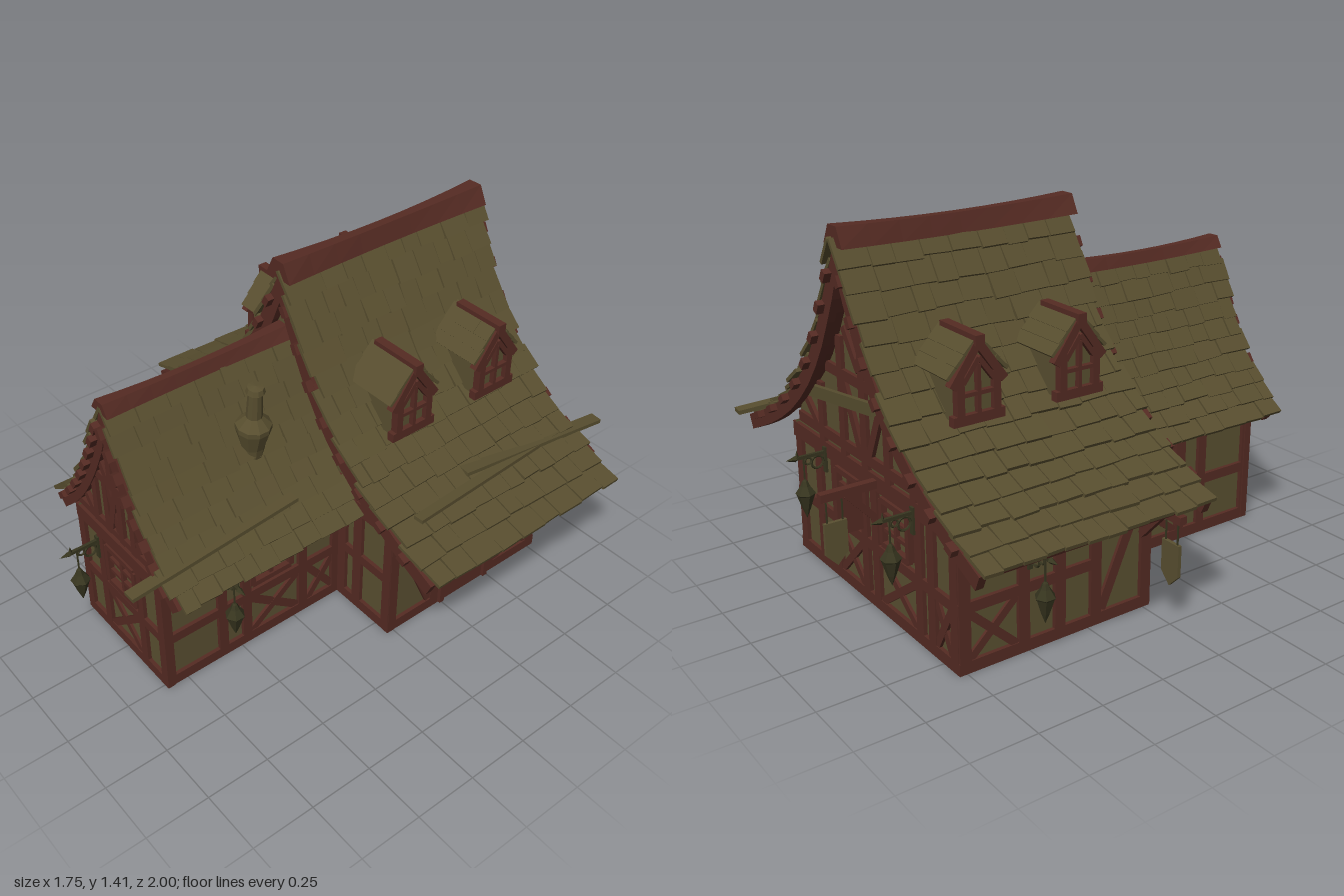
import * as THREE from 'three';
import { mergeGeometries } from 'three/addons/utils/BufferGeometryUtils.js';

const mat = (name, color, side = THREE.FrontSide) =>
  Object.assign(new THREE.MeshStandardMaterial({ color, side }), { name });

export function createModel() {
  const root = new THREE.Group();
  root.name = 'cottage';
  const plaster = mat('plaster', 0x5a5031, THREE.DoubleSide);
  const shingle = mat('shingle', 0x584e2f);
  const wood = mat('redTimber', 0x552b23);
  const metal = mat('darkMetal', 0x37351f);

  let seed = 7;
  const rnd = (a = 0, b = 1) => {
    seed = (seed * 16807) % 2147483647;
    return a + (b - a) * (seed / 2147483647);
  };

  // Merge pieces of one colour into a flat shaded mesh
  const part = (name, material, geos, parent = root) => {
    const g = mergeGeometries(geos.map((q) => (q.index ? q.toNonIndexed() : q)));
    g.computeVertexNormals();
    const m = new THREE.Mesh(g, material);
    m.name = name;
    parent.add(m);
    return m;
  };
  const box = (w, h, d, x, y, z) => new THREE.BoxGeometry(w, h, d).translate(x, y, z);
  const beam = ([u1, v1, u2, v2, w = 0.045, d = 0.03, z = 0]) =>
    new THREE.BoxGeometry(Math.hypot(u2 - u1, v2 - v1), w, d)
      .rotateZ(Math.atan2(v2 - v1, u2 - u1)).translate((u1 + u2) / 2, (v1 + v2) / 2, z);
  const post = (u, a, b, w) => [u, a, u, b, w];
  const rail = (v, a, b, w) => [a, v, b, v, w];
  const cross = (a, b, lo, hi) => [[a, lo, b, hi, 0.03, 0.024], [a, hi, b, lo, 0.03, 0.022]];
  const windowBars = (u, v, w, h) => {
    const l = [];
    for (const s of [-1, 1]) {
      l.push([u + s * w / 2, v - h / 2, u + s * w / 2, v + h / 2, 0.022, 0.045]);
      l.push([u - w / 2, v + s * h / 2, u + w / 2, v + s * h / 2, 0.022, 0.045]);
      l.push([u - w / 2, v + s * h / 6, u + w / 2, v + s * h / 6, 0.014, 0.03]);
    }
    l.push([u, v - h / 2, u, v + h / 2, 0.016, 0.032]);
    return l;
  };

  // A wall: plaster sheet plus timber frame, drawn in its own plane
  const wall = (name, pos, rotY, outline, beams) => {
    const g = new THREE.Group();
    g.name = name;
    g.position.set(...pos);
    g.rotation.y = rotY;
    const s = new THREE.Shape(outline.map(([x, y]) => new THREE.Vector2(x, y)));
    part(name + 'Plaster', plaster, [new THREE.ShapeGeometry(s)], g);
    part(name + 'Timbers', wood, beams.map(beam), g);
    root.add(g);
    return g;
  };

  // Roof profiles, from the ridge down to the right eave
  const curve = (pts) => new THREE.CatmullRomCurve3(pts.map(([x, y]) => new THREE.Vector3(x, y, 0)));
  const mainRoof = curve([[0, 1.36], [0.1, 1.17], [0.2, 0.98], [0.32, 0.82], [0.48, 0.68], [0.65, 0.58], [0.84, 0.495]]);
  const wingRoof = curve([[0, 1.12], [0.07, 0.97], [0.14, 0.83], [0.22, 0.7], [0.3, 0.6], [0.4, 0.505]]);
  const at = (c, t) => {
    const p = c.getPointAt(t), d = c.getTangentAt(t);
    return { x: p.x, y: p.y, nx: -d.y, ny: d.x, a: Math.atan2(d.y, d.x) };
  };
  const band = (c, o1, o2, side, z0, depth) => {
    const row = (o) => Array.from({ length: 13 }, (_, i) => {
      const p = at(c, i / 12);
      return new THREE.Vector2(side * Math.max(0, p.x + p.nx * o), p.y + p.ny * o);
    });
    const s = new THREE.Shape([...row(o1), ...row(o2).reverse()]);
    return new THREE.ExtrudeGeometry(s, { depth, bevelEnabled: false }).translate(0, 0, z0);
  };

  const roof = (name, c, z0, z1, rows, ends) => {
    const len = c.getLength(), tiles = [], timber = [];
    for (const side of [-1, 1]) {
      timber.push(band(c, -0.005, -0.025, side, z0 + 0.02, z1 - z0 - 0.04));
      // overlapping courses of uneven shingles
      for (let i = 0; i < rows; i++) {
        for (let z = z0 + rnd(-0.015, 0.015); z < z1 - 0.02;) {
          let w = rnd(0.07, 0.13);
          if (z + w > z1 - 0.04) w = z1 + rnd(-0.015, 0.015) - z;
          const p = at(c, (i + 0.6) / rows);
          const l = (len / rows) * 1.3 + rnd(-0.012, 0.014);
          const a = p.a + 0.13 + rnd(-0.03, 0.03), off = 0.007 + rnd(0, 0.006);
          tiles.push(new THREE.BoxGeometry(l, 0.014, w - 0.004)
            .rotateY(rnd(-0.04, 0.04)).rotateZ(side > 0 ? a : Math.PI - a)
            .translate(side * (p.x + p.nx * off), p.y + p.ny * off, z + w / 2));
          z += w;
        }
      }
      // bargeboards with small purlin ends
      for (const [z, dir] of ends) {
        timber.push(band(c, -0.005, -0.065, side, z - 0.015, 0.03));
        for (let i = 1; i < 9; i++) {
          const p = at(c, i / 9);
          timber.push(new THREE.BoxGeometry(0.04, 0.026, 0.04).rotateZ(side * p.a)
            .translate(side * (p.x - p.nx * 0.018), p.y - p.ny * 0.018, z + dir * 0.022));
        }
      }
    }
    part(name + 'Shingles', shingle, tiles);
    part(name + 'Timber', wood, timber);
  };
  roof('mainRoof', mainRoof, -0.86, 0.1, 14, [[0.08, 1], [-0.835, -1]]);
  roof('wingRoof', wingRoof, 0.04, 0.85, 10, [[0.83, 1]]);

  // Ridge caps: waisted and sagging in the middle
  const ridge = (name, y, z0, z1, w, h) => {
    const L = z1 - z0, g = new THREE.BoxGeometry(w, h, L, 1, 1, 8), p = g.attributes.position;
    for (let i = 0; i < p.count; i++) {
      const k = (2 * p.getZ(i) / L) ** 2, top = p.getY(i) > 0 ? 0.45 : 1;
      p.setX(i, p.getX(i) * top * (0.6 + 0.4 * k));
      p.setY(i, p.getY(i) + 0.012 * k);
    }
    part(name, wood, [g.translate(0, y, (z0 + z1) / 2)]);
  };
  ridge('mainRidge', 1.36, -0.855, 0.1, 0.13, 0.07);
  ridge('wingRidge', 1.115, 0.08, 0.845, 0.1, 0.045);

  // Gable walls follow the roof profile
  const gableOutline = (c, x0, x1) => {
    const ts = Array.from({ length: 15 }, (_, i) => at(c, i / 14)).map((p) => [p.x, p.y - 0.03]);
    const r = ts.filter(([x]) => x < x1).reverse(), l = ts.filter(([x]) => x > 0 && x < -x0);
    return [[x0, 0], [x1, 0], [x1, 0.52], ...r, ...l.map(([x, y]) => [-x, y]), [x0, 0.52]];
  };
  const mirror = (list) => list.flatMap(([a, b, c, d, ...r]) => [[a, b, c, d, ...r], [-a, b, -c, d, ...r]]);
  const mainGable = [rail(0.5, -0.58, 0.57, 0.06), rail(0.57, -0.52, 0.52, 0.04), rail(0.84, -0.27, 0.27, 0.04), post(0, 0.52, 1.25),
    ...mirror([post(0.16, 0.52, 0.98, 0.04), post(0.33, 0.52, 0.76, 0.04), [0.03, 0.58, 0.14, 0.82, 0.035],
      [0.36, 0.58, 0.45, 0.66, 0.03], [0.02, 0.88, 0.12, 1.02, 0.03]])];

  wall('mainFront', [0, 0, 0.015], 0, gableOutline(mainRoof, -0.59, 0.56), [
    ...mainGable, rail(0.02, -0.59, 0.56), rail(0.26, -0.59, -0.28, 0.04), rail(0.26, 0.28, 0.56, 0.04),
    post(-0.575, 0, 0.5, 0.05), post(-0.36, 0, 0.5), post(-0.29, 0, 0.5), post(0.29, 0, 0.5), post(0.38, 0, 0.5), post(0.55, 0, 0.5)]);
  wall('mainBack', [0, 0, -0.765], Math.PI, gableOutline(mainRoof, -0.56, 0.59), [
    ...mainGable, rail(0.02, -0.56, 0.59), rail(0.24, -0.56, 0.59, 0.04),
    ...[-0.54, -0.38, -0.25, -0.03, 0.05, 0.35, 0.43, 0.57].map((u) => post(u, 0, 0.5)),
    ...windowBars(-0.14, 0.37, 0.17, 0.17), ...windowBars(0.2, 0.37, 0.18, 0.17),
    ...cross(-0.23, -0.05, 0.04, 0.22), ...cross(0.08, 0.33, 0.04, 0.22), ...cross(0.45, 0.55, 0.04, 0.22)]);
  wall('wingFront', [0, 0, 0.825], 0, gableOutline(wingRoof, -0.27, 0.27), [
    rail(0.02, -0.27, 0.27), rail(0.5, -0.28, 0.28, 0.06), rail(0.24, -0.27, 0.27, 0.04), rail(0.57, -0.28, 0.28, 0.03),
    rail(0.79, -0.14, 0.14, 0.035),
    ...mirror([post(0.255, 0, 0.5, 0.04), post(0.125, 0, 0.5, 0.04), post(0.045, 0.55, 0.8, 0.03),
      post(0.12, 0.55, 0.79, 0.03), [0.02, 0.8, 0.08, 0.9, 0.03], [0.14, 0.58, 0.21, 0.66, 0.03]]),
    [-0.03, 0.57, 0.03, 0.78, 0.03], [0.03, 0.57, -0.03, 0.78, 0.028, 0.026], post(0, 0.8, 1.06, 0.03),
    ...windowBars(0.015, 0.375, 0.18, 0.17), ...cross(-0.1, 0.1, 0.04, 0.22)]);

  // Long side walls
  const rect = (a, b) => [[a, 0], [b, 0], [b, 0.54], [a, 0.54]];
  const mainSide = [rail(0.02, -0.03, 0.78), rail(0.5, -0.03, 0.78, 0.06),
    ...[-0.01, 0.215, 0.52, 0.755].map((u) => post(u, 0, 0.5)),
    [0.02, 0.44, 0.19, 0.05, 0.04, 0.024], rail(0.24, 0.52, 0.78, 0.04), ...cross(0.55, 0.74, 0.04, 0.22)];
  wall('mainRight', [0.555, 0, 0], Math.PI / 2, rect(-0.03, 0.78), mainSide);
  wall('mainLeft', [-0.585, 0, 0], -Math.PI / 2, rect(-0.78, 0.03), [
    ...mainSide.map(([a, b, c, d, ...r]) => [-a, b, -c, d, ...r]), rail(0.24, -0.52, -0.22, 0.04), post(-0.37, 0, 0.5)]);
  const wingSide = (s) => [rail(0.02, -0.84, -0.02), rail(0.5, -0.84, -0.02, 0.06), rail(0.23, -0.84, -0.02, 0.04),
    ...[-0.82, -0.58, -0.47, -0.205, -0.04].map((u) => post(u, 0, 0.5, 0.04)),
    ...windowBars(-0.355, 0.375, 0.18, 0.18), ...cross(-0.45, -0.23, 0.04, 0.21), ...cross(-0.18, -0.05, 0.04, 0.21),
  ].map(([a, b, c, d, ...r]) => [s * a, b, s * c, d, ...r]);
  wall('wingRight', [0.255, 0, 0], Math.PI / 2, rect(-0.84, -0.02), wingSide(1));
  wall('wingLeft', [-0.255, 0, 0], -Math.PI / 2, rect(0.02, 0.84), wingSide(-1));

  // Plank door on the right side
  part('door', wood, [box(0.02, 0.45, 0.26, 0.562, 0.235, -0.365), ...[0.13, 0.34, 0.45].map((y) => box(0.016, 0.02, 0.26, 0.575, y, -0.365)),
    ...[-0.245, -0.485].map((z) => box(0.02, 0.46, 0.022, 0.575, 0.235, z))]);
  part('doorHinges', metal, [0.12, 0.4].map((y) => box(0.01, 0.025, 0.05, 0.581, y, -0.46)));
  // Open shutter at the back
  part('shutter', wood, [box(0.015, 0.17, 0.1, 0.04, 0.37, -0.83)]);

  // Dormers on both slopes
  for (const side of [-1, 1]) for (const z of [-0.17, -0.58]) {
    const g = new THREE.Group();
    g.name = 'dormer';
    g.position.set(side * 0.42, 0, z);
    g.rotation.y = side * Math.PI / 2;
    const s = new THREE.Shape([[-0.075, 0.8], [0.075, 0.8], [0.075, 0.97], [0, 1.06], [-0.075, 0.97]].map((p) => new THREE.Vector2(...p)));
    part('dormerBody', plaster, [new THREE.ExtrudeGeometry(s, { depth: 0.2, bevelEnabled: false }).translate(0, 0, -0.2)], g);
    part('dormerFrame', wood, [rail(0.815, -0.1, 0.1, 0.035), rail(0.9, -0.07, 0.07, 0.014), post(0, 0.82, 1.0, 0.014),
      ...mirror([post(0.07, 0.82, 0.97, 0.028), [0.1, 0.93, 0, 1.07, 0.03], [0.06, 0.94, 0, 1.02, 0.018]])].map(beam)
      .map((q) => q.translate(0, 0, 0.005)).concat(box(0.035, 0.035, 0.22, 0, 1.08, -0.08)), g);
    const tiles = [];
    for (const k of [-1, 1]) for (let r = 0; r < 3; r++) for (let j = 0; j < 3; j++)
      tiles.push(new THREE.BoxGeometry(0.068, 0.012, 0.073 + rnd(-0.004, 0.012)).rotateZ(-k * 0.8)
        .translate(k * (0.028 + r * 0.032), 1.06 - r * 0.037, -0.025 - j * 0.072));
    part('dormerShingles', shingle, tiles, g);
    root.add(g);
  }

  // Stove chimney on the wing roof
  const lathe = (pts, n) => new THREE.LatheGeometry(pts.map(([r, y]) => new THREE.Vector2(r, y)), n);
  part('chimney', shingle, [lathe([[0.035, -0.12], [0.045, -0.02], [0.066, 0.06], [0.066, 0.08], [0.03, 0.115], [0.026, 0.22], [0.036, 0.225],
    [0.03, 0.245], [0, 0.25]], 10).rotateZ(-0.1)]).position.set(0.155, 0.84, 0.34);

  // Loose planks
  const plank = (a, b, w) => {
    const p = new THREE.Vector3(...a), q = new THREE.Vector3(...b);
    const m = new THREE.Mesh(new THREE.BoxGeometry(w, 0.016, p.distanceTo(q)), shingle);
    m.name = 'loosePlank';
    m.position.copy(p).add(q).multiplyScalar(0.5);
    m.lookAt(q);
    root.add(m);
  };
  plank([0.31, 0.585, 0.98], [0.3, 0.64, 0.27], 0.05);
  plank([0.635, 0.595, -0.98], [0.58, 0.64, -0.3], 0.05);
  plank([0.6, 0.61, -0.85], [0.66, 0.625, 0.0], 0.04);
  part('gablePlank', shingle, [beam([-0.14, 0.8, 0.36, 0.73, 0.045, 0.018, -0.81])]);

  // Hanging lanterns on scrolled brackets, reaching along local +x
  const lantern = (pos, rotY) => {
    const g = new THREE.Group();
    g.name = 'lantern';
    g.position.set(...pos);
    g.rotation.y = rotY;
    part('bracket', metal, [box(0.12, 0.012, 0.012, 0.06, 0, 0), box(0.01, 0.1, 0.02, 0.003, -0.03, 0),
      new THREE.TorusGeometry(0.024, 0.005, 5, 12).translate(0.035, -0.032, 0),
      new THREE.TorusGeometry(0.013, 0.004, 5, 10).translate(0.072, -0.02, 0),
      new THREE.ConeGeometry(0.013, 0.04, 4).rotateZ(-Math.PI / 2).translate(0.14, 0, 0),
      new THREE.ConeGeometry(0.008, 0.03, 4).translate(0.115, 0.018, 0),
      box(0.005, 0.09, 0.005, 0.09, -0.05, 0)], g);
    part('lanternBody', metal, [lathe([[0, -0.245], [0.008, -0.225], [0.016, -0.205], [0.034, -0.15], [0.038, -0.145], [0.018, -0.115], [0.01, -0.095], [0, -0.085]], 6)
      .translate(0.09, 0, 0)], g);
    root.add(g);
  };
  lantern([0.57, 0.44, -0.2], 0);
  lantern([0.27, 0.44, 0.59], 0);
  lantern([-0.27, 0.44, 0.22], Math.PI);
  lantern([-0.6, 0.39, -0.5], Math.PI);
  lantern([-0.14, 0.44, 0.84], -Math.PI / 2);
  lantern([-0.33, 0.49, -0.78], Math.PI / 2);
  lantern([0.31, 0.49, -0.78], Math.PI / 2);

  // Blank hanging signs
  const sign = (pos, rotY) => {
    const g = new THREE.Group();
    g.name = 'hangingSign';
    g.position.set(...pos);
    g.rotation.y = rotY;
    part('signArm', wood, [box(0.22, 0.03, 0.03, 0.1, 0, 0), beam([0, -0.13, 0.11, -0.01, 0.025, 0.025])], g);
    part('signChains', metal, [0.125, 0.185].map((x) => box(0.005, 0.1, 0.005, x, -0.06, 0)), g);
    const s = new THREE.Shape([[0.112, -0.1], [0.112, -0.22], [0.155, -0.265], [0.198, -0.22], [0.198, -0.1]].map((p) => new THREE.Vector2(...p)));
    part('signBoard', plaster, [new THREE.ExtrudeGeometry(s, { depth: 0.014, bevelEnabled: false }).translate(0, 0, -0.007)], g);
    root.add(g);
  };
  sign([-0.6, 0.425, -0.01], Math.PI);
  sign([-0.07, 0.5, -0.785], Math.PI / 2);

  return root;
}
